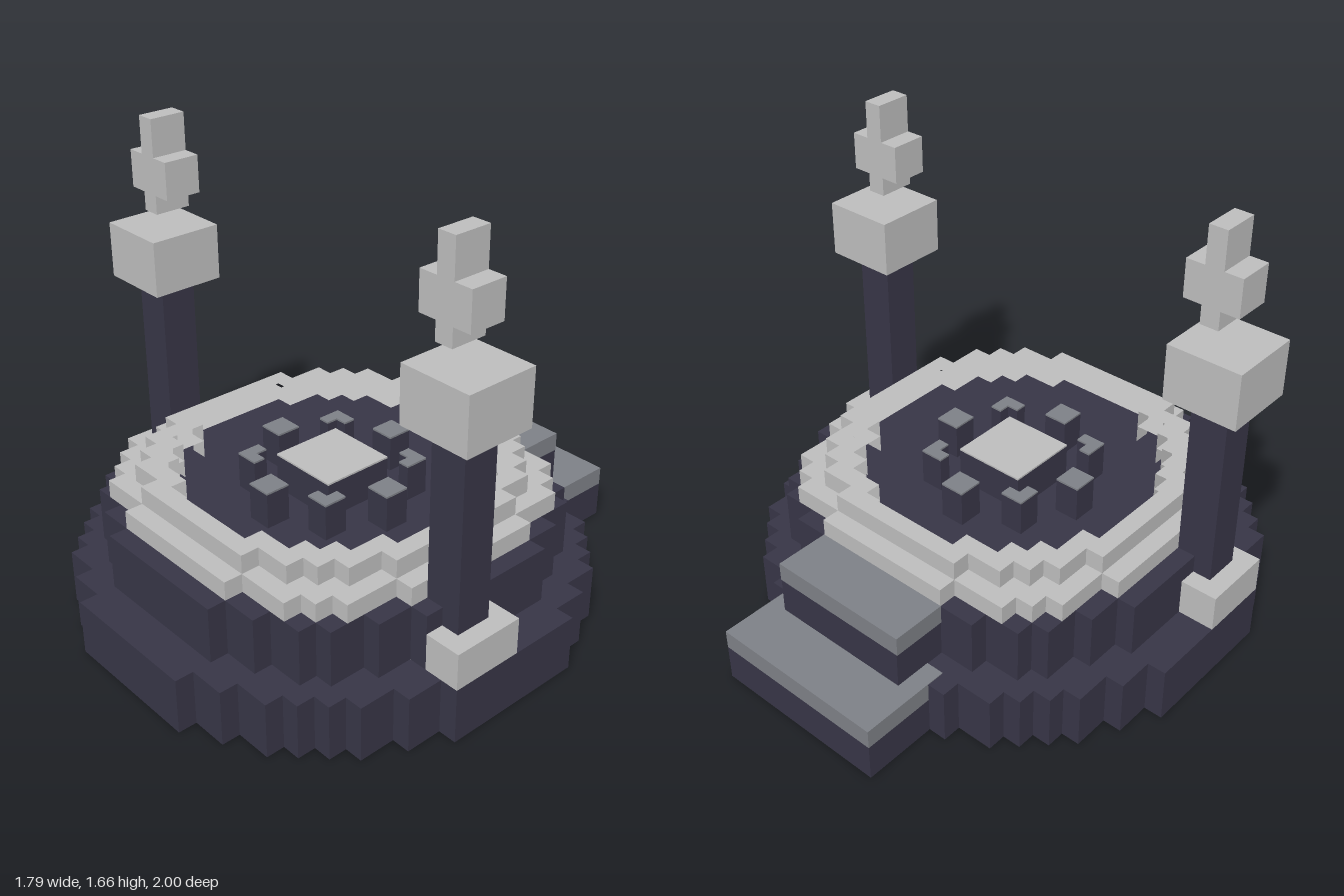
import * as THREE from 'three';

const U = 2 / 29; // size of one block
const CZ = 1.5;   // centre of the round platform along z, in blocks

export function createModel() {
  const model = new THREE.Group();
  const mat = (name, color) => {
    const m = new THREE.MeshStandardMaterial({ color });
    m.name = name;
    return m;
  };
  const dark = mat('dark slate', 0x373546);
  const light = mat('light stone', 0xbdbdbd);
  const grey = mat('mid grey', 0x7d8086);

  const add = (name, geometry, material, parent) => {
    const mesh = new THREE.Mesh(geometry, material);
    mesh.name = name;
    parent.add(mesh);
    return mesh;
  };

  // box from min and max corners, in blocks
  const box = (name, material, x0, x1, y0, y1, z0, z1, parent = model) => {
    const g = new THREE.BoxGeometry((x1 - x0) * U, (y1 - y0) * U, (z1 - z0) * U);
    g.translate((x0 + x1) / 2 * U, (y0 + y1) / 2 * U, (z0 + z1) / 2 * U);
    return add(name, g, material, parent);
  };

  // stepped round outline from the corners of one quarter
  const outline = (corners) => {
    const q = [];
    corners.forEach(([x, y], i) => {
      if (i) q.push([corners[i - 1][0], y]);
      q.push([x, y]);
    });
    const r = [...q].reverse();
    return [
      ...q,
      ...r.map(([x, y]) => [x, -y]),
      ...q.map(([x, y]) => [-x, -y]),
      ...r.map(([x, y]) => [-x, y]),
    ].map(([x, y]) => new THREE.Vector2(x * U, y * U));
  };

  const disc = (name, material, corners, y0, y1, hole) => {
    const shape = new THREE.Shape(outline(corners));
    if (hole) shape.holes.push(new THREE.Path(outline(hole)));
    const g = new THREE.ExtrudeGeometry(shape, { depth: (y1 - y0) * U, bevelEnabled: false });
    g.rotateX(-Math.PI / 2);
    g.translate(0, y0 * U, CZ * U);
    return add(name, g, material, model);
  };

  // round tiers and the stepped rim
  const r13 = [[4, 13], [6, 12], [8, 11], [9, 10], [10, 9], [11, 8], [12, 6], [13, 4]];
  const r11 = [[4, 11], [6, 10], [8, 9], [9, 8], [10, 6], [11, 4]];
  const r10 = [[4, 10], [7, 9], [8, 8], [9, 7], [10, 4]];
  const r9 = [[4, 9], [6, 8], [7, 7], [8, 6], [9, 4]];
  const r8 = [[3, 8], [5, 7], [6, 6], [7, 5], [8, 3]];
  disc('baseTier', dark, r13, 0, 3);
  disc('upperTier', dark, r11, 3, 6);
  disc('lowerRim', light, r10, 6, 7, r8);
  disc('upperRim', light, r9, 7, 8, r8);

  // pedestals in the basin, each with a thin coloured top
  const basin = new THREE.Group();
  basin.name = 'basin';
  basin.position.z = CZ * U;
  model.add(basin);
  const pedestal = (name, material, x0, x1, z0, z1) => {
    box(name, dark, x0, x1, 6, 7.9, z0, z1, basin);
    box(name + 'Top', material, x0, x1, 7.9, 8, z0, z1, basin);
  };
  pedestal('centrePedestal', light, -2, 2, -2, 2);
  for (const s of [-1, 1]) {
    const a = s * 4.14;
    pedestal('sidePedestal', grey, a - 0.68, a + 0.68, -0.68, 0.68);
    pedestal('endPedestal', grey, -0.68, 0.68, a - 0.68, a + 0.68);
    // L-shaped corner pedestals, open toward the centre
    for (const t of [-1, 1]) {
      const span = (k, lo, hi) => (k > 0 ? [lo, hi] : [-hi, -lo]);
      pedestal('cornerPedestal', grey, ...span(s, 2.1, 3.4), ...span(t, 2.75, 3.4));
      pedestal('cornerPedestal', grey, ...span(s, 2.75, 3.4), ...span(t, 2.1, 2.75));
    }
  }

  // entry steps at the back
  box('lowerStep', dark, -5, 5, 0, 2, -14.5, -9.5);
  box('lowerStepTread', grey, -5, 5, 2, 3.04, -14.5, -9.5);
  box('upperStep', dark, -4, 4, 3, 5, -11.5, -8.5);
  box('upperStepTread', grey, -4.04, 4.04, 5, 6.04, -11.5, -8.5);

  // two side pillars with floating finials
  for (const s of [-1, 1]) {
    const pillar = new THREE.Group();
    pillar.name = s > 0 ? 'leftPillar' : 'rightPillar';
    pillar.position.set(s * 11 * U, 0, 3.5 * U);
    model.add(pillar);
    box('pillarFoot', light, -2, 2, 3, 5, -2, 2, pillar);
    box('pillarShaft', dark, -1, 1, 5, 15, -1, 1, pillar);
    box('pillarCapital', light, -2, 2, 15, 18, -2, 2, pillar);
    // finial sits half a block toward the middle
    const finial = new THREE.Group();
    finial.name = 'finial';
    finial.position.x = -s * 0.5 * U;
    pillar.add(finial);
    box('finialTail', light, -0.5, 0.5, 19, 20, -1, 1, finial);
    box('finialArms', light, -1.5, 1.5, 20, 22, -1, 1, finial);
    box('finialTip', light, -0.5, 0.5, 22, 24, -1, 1, finial);
  }

  return model;
}
